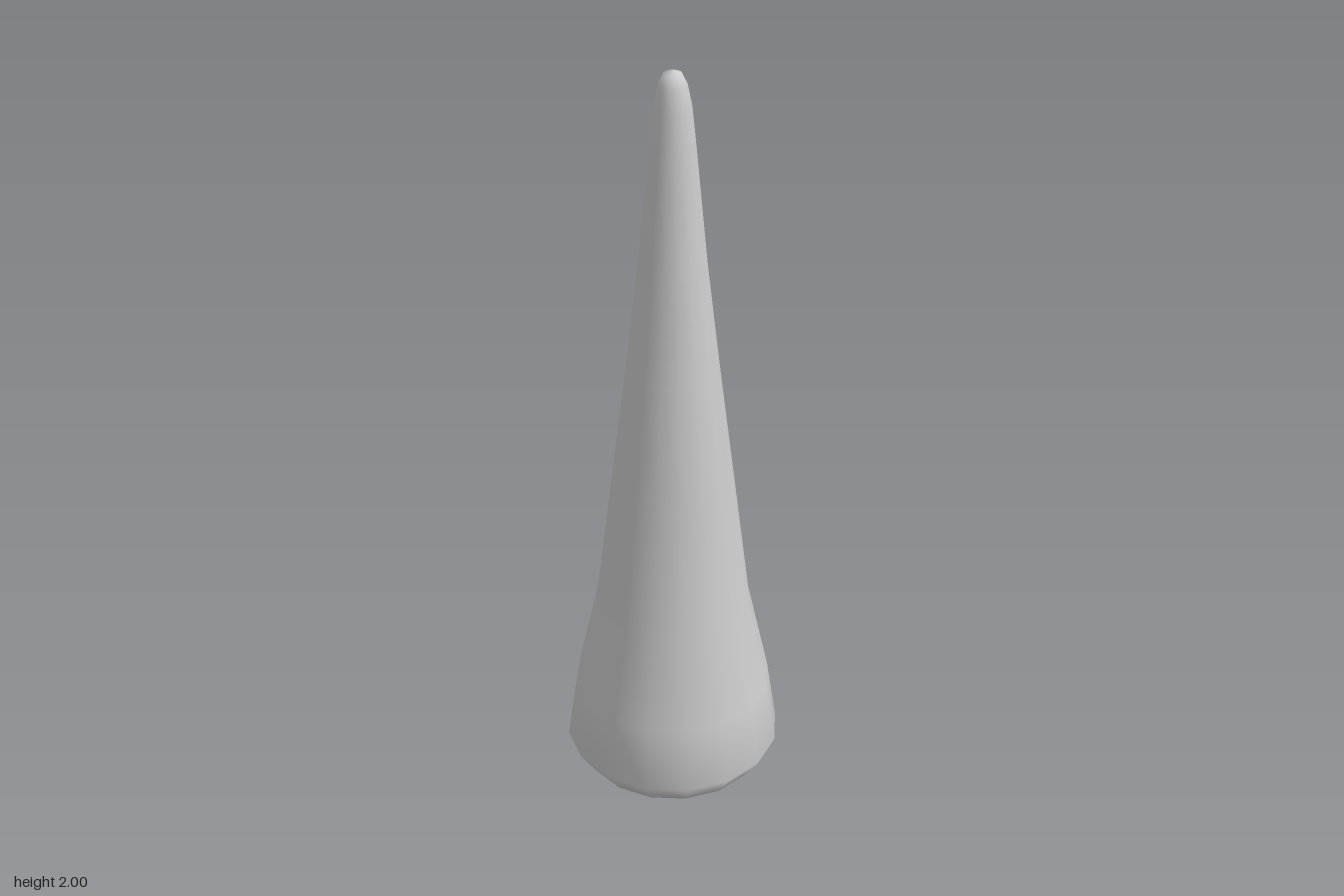
import * as THREE from 'three';

const SIDES = 16;

export function createModel() {
  const group = new THREE.Group();
  group.name = 'taperedSpike';
  const material = new THREE.MeshStandardMaterial({ color: 0xcccccc });

  // Outer skin: rounded foot, flared base, long taper and blunt tip
  const profile = [
    [0.15, 0], [0.195, 0.015], [0.238, 0.04], [0.282, 0.105], [0.256, 0.28],
    [0.2, 0.54], [0.16, 0.87], [0.117, 1.22], [0.085, 1.5], [0.057, 1.8],
    [0.046, 1.91], [0.035, 1.965], [0.022, 1.993], [0, 2],
  ].map(([r, y]) => new THREE.Vector2(r, y));
  const body = new THREE.Mesh(new THREE.LatheGeometry(profile, SIDES), material);
  body.name = 'body';
  group.add(body);

  // Flat underside, kept separate so its rim stays sharp
  const base = new THREE.Mesh(new THREE.CircleGeometry(0.15, SIDES), material);
  base.name = 'base';
  base.rotation.x = Math.PI / 2;
  group.add(base);

  return group;
}
